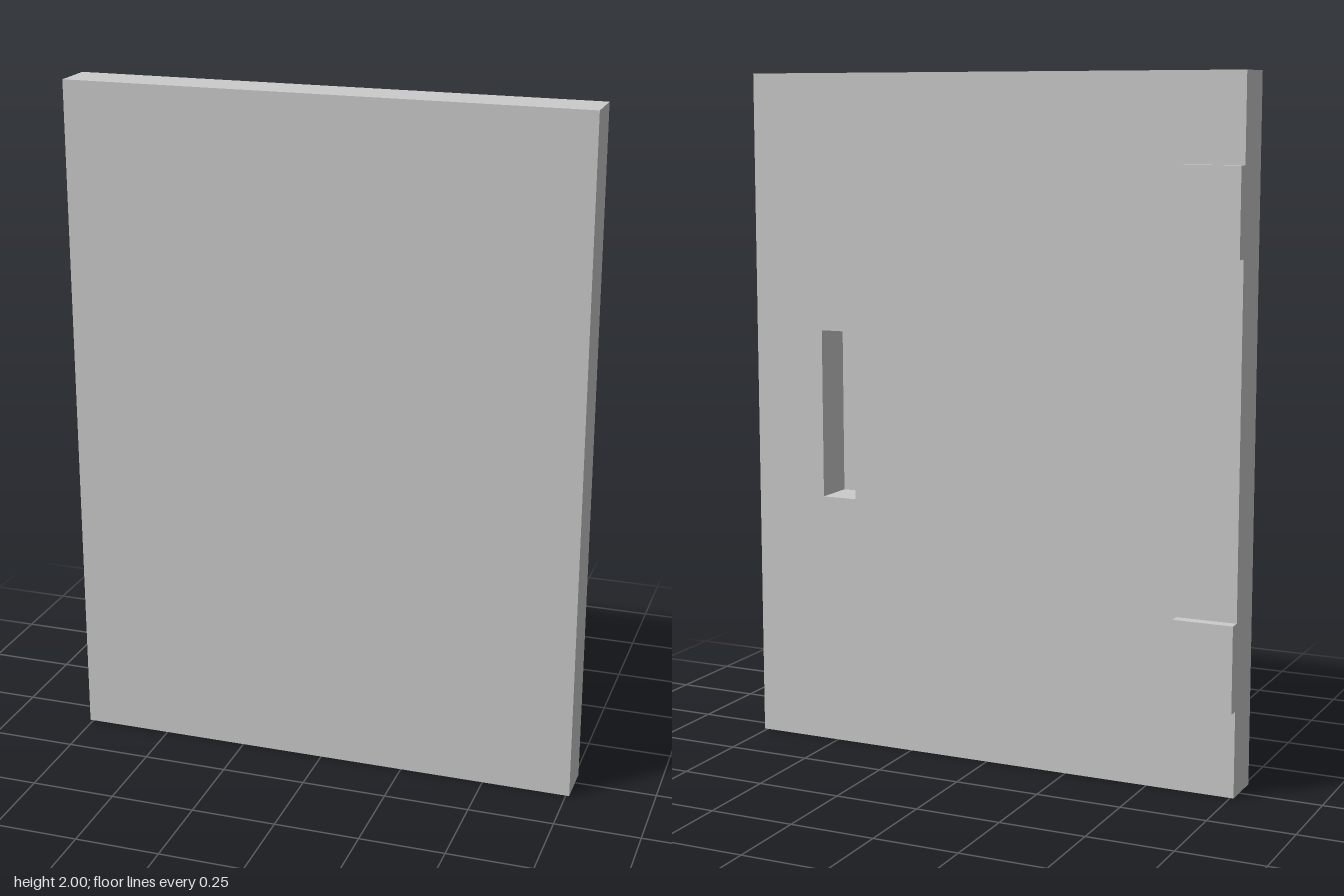
import * as THREE from 'three';
import { mergeGeometries } from 'three/addons/utils/BufferGeometryUtils.js';

const W = 1.52, H = 2, BACK = -0.05, FRONT = 0.083;
const pocket = { x: 0.485, y: 1, w: 0.108, h: 0.5, depth: 0.125 };

// Box spanning z0..z1 without its -z face; inward turns the faces to the inside
function openBox(w, h, z0, z1, x, y, inward = false) {
  const g = new THREE.BoxGeometry(w, h, z1 - z0).translate(x, y, (z0 + z1) / 2);
  const index = Array.from(g.index.array).slice(0, 30); // the last face is -z
  g.setIndex(inward ? index.reverse() : index);
  g.clearGroups();
  const flat = g.toNonIndexed();
  flat.computeVertexNormals();
  return flat;
}

function rectangle(target, x, y, w, h) {
  target.moveTo(x - w / 2, y - h / 2);
  target.lineTo(x + w / 2, y - h / 2);
  target.lineTo(x + w / 2, y + h / 2);
  target.lineTo(x - w / 2, y + h / 2);
  target.closePath();
  return target;
}

export function createModel() {
  const group = new THREE.Group();
  group.name = 'door';
  const material = new THREE.MeshStandardMaterial({ color: 0xcccccc });

  // Door slab: outer shell, pierced back face and the pocket of the recessed handle
  const shape = rectangle(new THREE.Shape(), 0, H / 2, W, H);
  shape.holes.push(rectangle(new THREE.Path(), -pocket.x, pocket.y, pocket.w, pocket.h));
  const backFace = new THREE.ShapeGeometry(shape).rotateY(Math.PI).translate(0, 0, BACK).toNonIndexed();
  const slab = new THREE.Mesh(mergeGeometries([
    openBox(W, H, BACK, FRONT, 0, H / 2),
    backFace,
    openBox(pocket.w, pocket.h, BACK, BACK + pocket.depth, pocket.x, pocket.y, true),
  ]), material);
  slab.name = 'doorPanel';
  group.add(slab);

  // Hinge plates on the back
  const hingeW = 0.175, hingeD = 0.033;
  for (const [name, y] of [['lowerHinge', 0.375], ['upperHinge', 1.625]]) {
    const hinge = new THREE.Mesh(new THREE.BoxGeometry(hingeW, 0.25, hingeD), material);
    hinge.position.set(-W / 2 + hingeW / 2, y, BACK - hingeD / 2);
    hinge.name = name;
    group.add(hinge);
  }
  return group;
}
